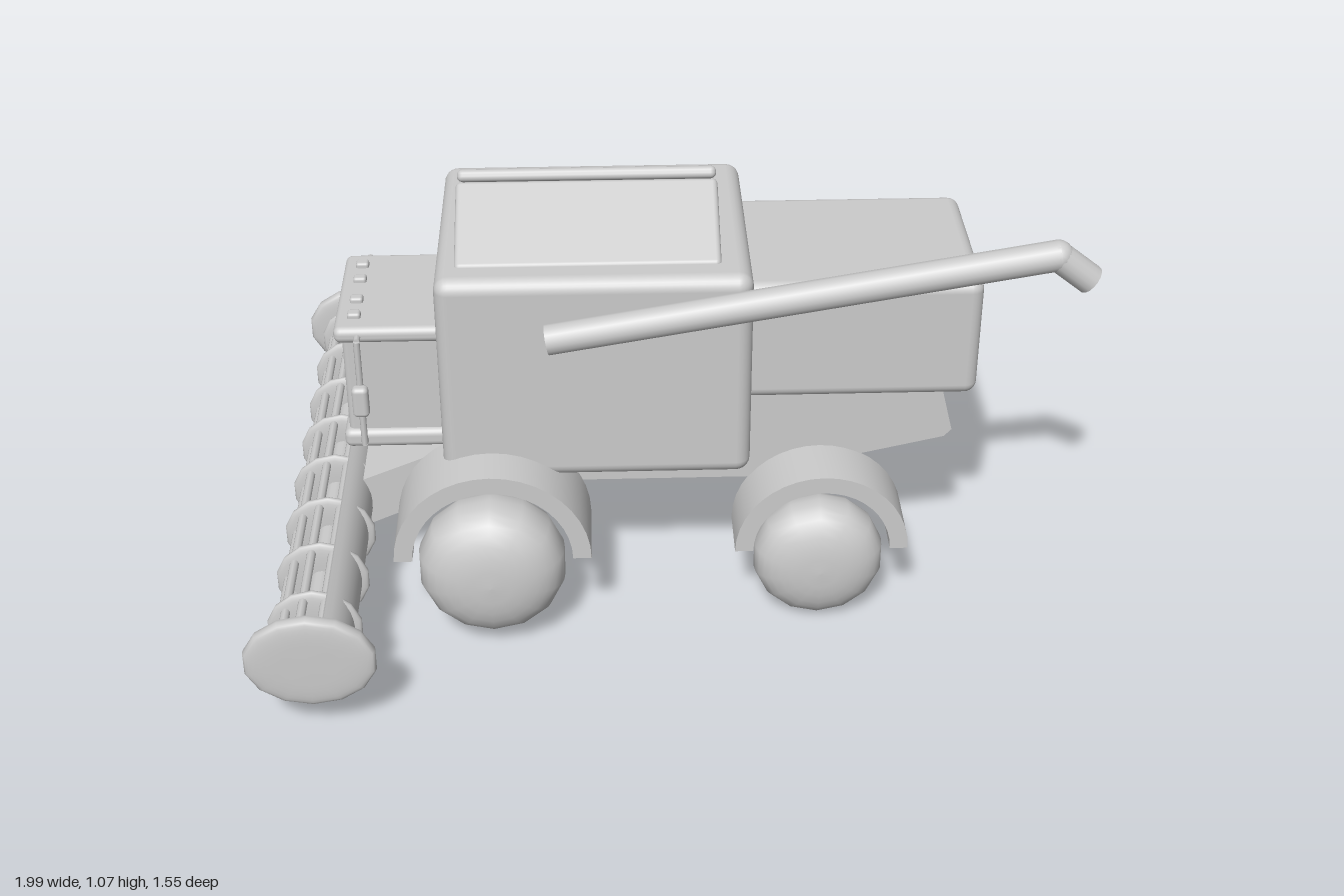
import * as THREE from 'three';
import { RoundedBoxGeometry } from 'three/addons/geometries/RoundedBoxGeometry.js';
import { toCreasedNormals } from 'three/addons/utils/BufferGeometryUtils.js';

const grey = new THREE.MeshStandardMaterial({ color: 0xcccccc });

export function createModel() {
  const model = new THREE.Group();

  const add = (name, geometry, x = 0, y = 0, z = 0) => {
    const mesh = new THREE.Mesh(geometry, grey);
    mesh.name = name;
    mesh.position.set(x, y, z);
    model.add(mesh);
    return mesh;
  };

  // Rounded box given by its extents on each axis
  const block = (name, [x0, x1], [y0, y1], [z0, z1], radius) =>
    add(name, new RoundedBoxGeometry(x1 - x0, y1 - y0, z1 - z0, 3, radius),
      (x0 + x1) / 2, (y0 + y1) / 2, (z0 + z1) / 2);

  // Side profile extruded across z
  const slab = (name, points, z0, z1) => {
    const shape = new THREE.Shape(points.map(([x, y]) => new THREE.Vector2(x, y)));
    const geometry = new THREE.ExtrudeGeometry(shape, { depth: z1 - z0, bevelEnabled: false });
    return add(name, toCreasedNormals(geometry, 0.6), 0, 0, z0);
  };

  // Points of a bent strip between two ellipses
  const arc = (cx, cy, rx, ry, t, a0, a1, n) => {
    const ring = (k) => Array.from({ length: n + 1 }, (_, i) => {
      const a = a0 + (a1 - a0) * i / n;
      return [cx + (rx - k) * Math.cos(a), cy + (ry - k) * Math.sin(a)];
    });
    return [...ring(0), ...ring(t).reverse()];
  };

  // Round pillow shape turning about z; a higher power gives squarer shoulders
  const pillow = (radius, half, power, sides) => {
    const profile = [];
    for (let i = 0; i <= 16; i++) {
      const a = -Math.PI / 2 + Math.PI * i / 16;
      profile.push(new THREE.Vector2(
        radius * Math.pow(Math.max(Math.cos(a), 0), 2 / power),
        half * Math.sign(a) * Math.pow(Math.abs(Math.sin(a)), 2 / power)));
    }
    profile[0].x = profile[16].x = 0;
    return new THREE.LatheGeometry(profile, sides).rotateX(Math.PI / 2);
  };

  const rod = (name, from, to, radius, sides = 16) => {
    const a = new THREE.Vector3(...from), b = new THREE.Vector3(...to);
    const d = b.clone().sub(a);
    const mesh = add(name, new THREE.CylinderGeometry(radius, radius, d.length(), sides),
      ...a.clone().add(b).multiplyScalar(0.5).toArray());
    mesh.quaternion.setFromUnitVectors(new THREE.Vector3(0, 1, 0), d.normalize());
    return mesh;
  };

  // Main bodies
  block('grainTank', [-0.55, 0.195], [0.41, 0.957], [-0.308, 0.314], 0.035);
  block('rearHousing', [0.1, 0.75], [0.575, 0.89], [-0.228, 0.235], 0.03);
  slab('chassis', [[-0.52, 0.45], [-0.52, 0.32], [0.2, 0.32], [0.685, 0.43], [0.703, 0.45],
    [0.665, 0.6], [0.1, 0.6]], -0.18, 0.192);
  slab('feederHouse', [[-0.77, 0.29], [-0.77, 0.15], [-0.4, 0.31], [-0.4, 0.44]], -0.118, 0.13);

  // Tank flaps leaning up towards the middle
  for (const s of [-1, 1]) {
    const flap = block('tankFlap', [-0.505, 0.12], [0.985, 1.015], [-0.125, 0.125], 0.013);
    flap.position.set(-0.19, 1.005, s * 0.132 - 0.004);
    flap.rotation.x = s * 0.49;
  }

  // Cab with floor, roof, mirrors and lamps
  block('cab', [-0.785, -0.5], [0.45, 0.76], [-0.165, 0.185], 0.015);
  block('cabFloor', [-0.797, -0.5], [0.432, 0.482], [-0.18, 0.2], 0.018);
  block('cabRoof', [-0.803, -0.5], [0.73, 0.772], [-0.18, 0.2], 0.018);
  for (const s of [-1, 1]) {
    const z = 0.01 + s * 0.21;
    rod('mirrorBar', [-0.745, 0.46, z], [-0.745, 0.75, z], 0.008, 8);
    for (const y of [0.46, 0.75])
      rod('mirrorArm', [-0.745, y, z], [-0.745, y, z - s * 0.05], 0.008, 8);
    block('mirror', [-0.765, -0.725], [0.55, 0.632], [z + s * 0.012 - 0.016, z + s * 0.012 + 0.016], 0.012);
    for (const d of [0.05, 0.125])
      block('roofLamp', [-0.772, -0.74], [0.765, 0.785], [0.01 + s * d - 0.014, 0.01 + s * d + 0.014], 0.007);
  }

  // Unloading auger
  const z = 0.325;
  rod('augerTube', [-0.29, 0.81, z], [0.895, 1.012, z], 0.037);
  add('augerElbow', new THREE.SphereGeometry(0.037, 16, 12), 0.89, 1.011, z);
  rod('augerSpout', [0.888, 1.012, z], [0.972, 0.946, z], 0.036);

  // Wheels and half-round fenders
  const axles = [
    { name: 'front', x: -0.438, y: 0.217, r: 0.182, z: 0.36, half: 0.115, arch: [-0.435, 0.247, 0.24], span: [0.2, 0.4] },
    { name: 'rear', x: 0.368, y: 0.166, r: 0.163, z: 0.284, half: 0.092, arch: [0.375, 0.195, 0.215], span: [0.167, 0.316] },
  ];
  for (const a of axles) for (const s of [-1, 1]) {
    add(a.name + 'Wheel', pillow(a.r, a.half, 2.4, 14), a.x, a.y, 0.024 + s * a.z);
    const [cx, cy, r] = a.arch;
    const [z0, z1] = a.span.map((v) => 0.021 + s * v).sort((p, q) => p - q);
    slab(a.name + 'Fender', arc(cx, cy, r, r, 0.045, 0, Math.PI, 20), z0, z1);
  }

  // Header: trough open to the front, end plates and reel
  const hx = -0.845, hy = 0.22;
  slab('headerTrough', arc(hx, hy, 0.094, 0.115, 0.012, 1.15, -2.6, 20), -0.75, 0.75);
  for (const s of [-1, 1])
    add('headerEnd', pillow(1, 0.022, 4, 14), hx, hy, s * 0.752).scale.set(0.156, 0.124, 1);
  for (let i = 0; i < 8; i++)
    add('reelRing', pillow(1, 0.015, 3, 14), hx, hy - 0.005, -0.685 + i * 0.1875).scale.set(0.113, 0.108, 1);
  for (let i = 0; i < 10; i++) {
    const a = 1.2 + i * Math.PI / 5;
    const x = hx + 0.082 * Math.cos(a), y = hy + 0.082 * Math.sin(a);
    rod('reelBar', [x, y, -0.75], [x, y, 0.75], 0.011, 8);
  }
  rod('reelShaft', [hx, hy, -0.75], [hx, hy, 0.75], 0.03);

  return model;
}
